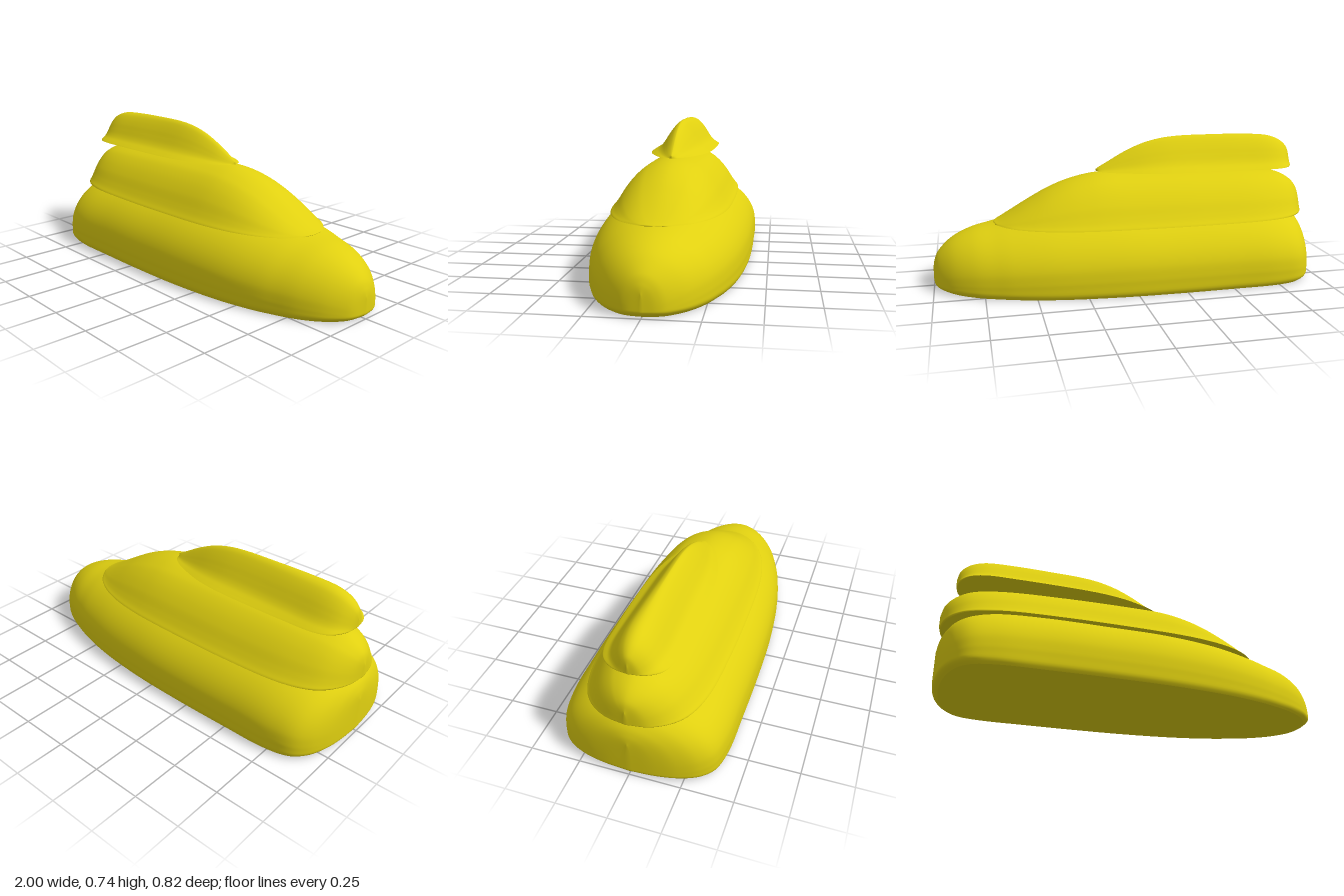
import * as THREE from 'three';
import { mergeVertices } from 'three/addons/utils/BufferGeometryUtils.js';

const material = new THREE.MeshStandardMaterial({ color: 0xe0d010 });

// Skin over cross-sections: vertices [station][across], flip for downward faces
function skin(rows, flip) {
  const n = rows[0].length, pos = [], idx = [];
  for (const row of rows) for (const p of row) pos.push(...p);
  for (let i = 0; i < rows.length - 1; i++) {
    for (let j = 0; j < n - 1; j++) {
      const a = i * n + j, b = a + n, c = a + 1, d = b + 1;
      idx.push(...(flip ? [a, c, b, b, c, d] : [a, b, c, b, d, c]));
    }
  }
  const geo = new THREE.BufferGeometry();
  geo.setAttribute('position', new THREE.Float32BufferAttribute(pos, 3));
  geo.setIndex(idx);
  const merged = mergeVertices(geo, 1e-5);
  merged.computeVertexNormals();
  return merged;
}

// One tier: stations are [x, half width, top height];
// half section runs from bottom edge to crest as [width share, height share];
// foot is the height of the rounded lower edge, pinch sharpens the crest towards +x
function makeTier(name, base, foot, pinch, stations, half) {
  const spine = new THREE.CatmullRomCurve3(stations.map(([x, w, h]) => new THREE.Vector3(x, h, w)));
  const mirrored = half.slice(0, -1).reverse().map(([z, t]) => [-z, t]);
  const section = new THREE.SplineCurve([...half, ...mirrored].map(([z, t]) => new THREE.Vector2(z, t)))
    .getSpacedPoints(120);
  const rows = spine.getPoints((stations.length - 1) * 8).map((s) => {
    const power = 1 + pinch * THREE.MathUtils.smoothstep(s.x, -0.85, -0.3);
    return section.map((p) => {
      const y = Math.max(p.y, 0) * (s.y - base);
      const tuck = 1 - foot * Math.max(0, 1 - y / foot) ** 2;
      const z = Math.sign(p.x) * Math.abs(p.x) ** power * Math.max(s.z, 0);
      return [s.x * tuck, base + y, z * tuck];
    });
  });
  const floor = rows.map((r) => [r[0], r[r.length - 1]]);

  const tier = new THREE.Group();
  tier.name = name;
  const shell = new THREE.Mesh(skin(rows, false), material);
  shell.name = name + 'Shell';
  const bottom = new THREE.Mesh(skin(floor, true), material);
  bottom.name = name + 'Bottom';
  tier.add(shell, bottom);
  return tier;
}

export function createModel() {
  const model = new THREE.Group();
  model.name = 'tieredHull';

  // Lower hull: upright sides with elliptical shoulders
  const lowerSection = [[1, 0], [1, 0.08], [1, 0.16], [1, 0.23]];
  for (let k = 1; k <= 8; k++) {
    const a = (k * Math.PI) / 16;
    lowerSection.push([Math.cos(a), 0.23 + 0.77 * Math.sin(a)]);
  }
  model.add(makeTier('lowerHull', 0, 0.03, 0, [
    [-1, 0, 0.19], [-0.99, 0.13, 0.24], [-0.97, 0.23, 0.28], [-0.93, 0.32, 0.32],
    [-0.87, 0.375, 0.35], [-0.75, 0.403, 0.38], [-0.5, 0.408, 0.4], [-0.2, 0.408, 0.4],
    [0.1, 0.398, 0.4], [0.4, 0.366, 0.375], [0.6, 0.322, 0.34], [0.69, 0.292, 0.32],
    [0.8, 0.248, 0.295], [0.9, 0.185, 0.25], [0.97, 0.109, 0.185], [0.99, 0.066, 0.145], [1, 0, 0.1],
  ], lowerSection));

  // Middle deck: domed, sloping down at the +x end
  model.add(makeTier('middleDeck', 0.32, 0.008, 0, [
    [-1, 0, 0.39], [-0.98, 0.11, 0.45], [-0.93, 0.195, 0.495], [-0.86, 0.25, 0.525],
    [-0.72, 0.293, 0.544], [-0.4, 0.313, 0.557], [-0.05, 0.312, 0.562], [0.12, 0.306, 0.56],
    [0.2, 0.3, 0.55], [0.3, 0.287, 0.525], [0.4, 0.265, 0.485], [0.5, 0.229, 0.43],
    [0.6, 0.168, 0.37], [0.66, 0.1, 0.336], [0.68, 0.062, 0.327], [0.69, 0, 0.322],
  ], [[1, 0], [0.93, 0.1], [0.86, 0.23], [0.75, 0.45], [0.61, 0.66], [0.46, 0.82], [0.32, 0.91], [0.16, 0.975], [0, 1]]));

  // Upper deck: bell-shaped section with flared rim, crest narrowing towards +x
  model.add(makeTier('upperDeck', 0.567, 0.006, 0.3, [
    [-0.94, 0, 0.61], [-0.925, 0.08, 0.66], [-0.88, 0.14, 0.7], [-0.81, 0.167, 0.725],
    [-0.65, 0.174, 0.737], [-0.45, 0.174, 0.74], [-0.3, 0.17, 0.738], [-0.2, 0.162, 0.728],
    [-0.1, 0.144, 0.703], [0, 0.112, 0.66], [0.08, 0.077, 0.615], [0.13, 0.038, 0.587],
    [0.145, 0, 0.577],
  ], [[1, 0], [0.9, 0.07], [0.78, 0.16], [0.68, 0.28], [0.57, 0.46], [0.46, 0.64], [0.34, 0.8], [0.22, 0.92], [0.11, 0.98], [0, 1]]));

  return model;
}
